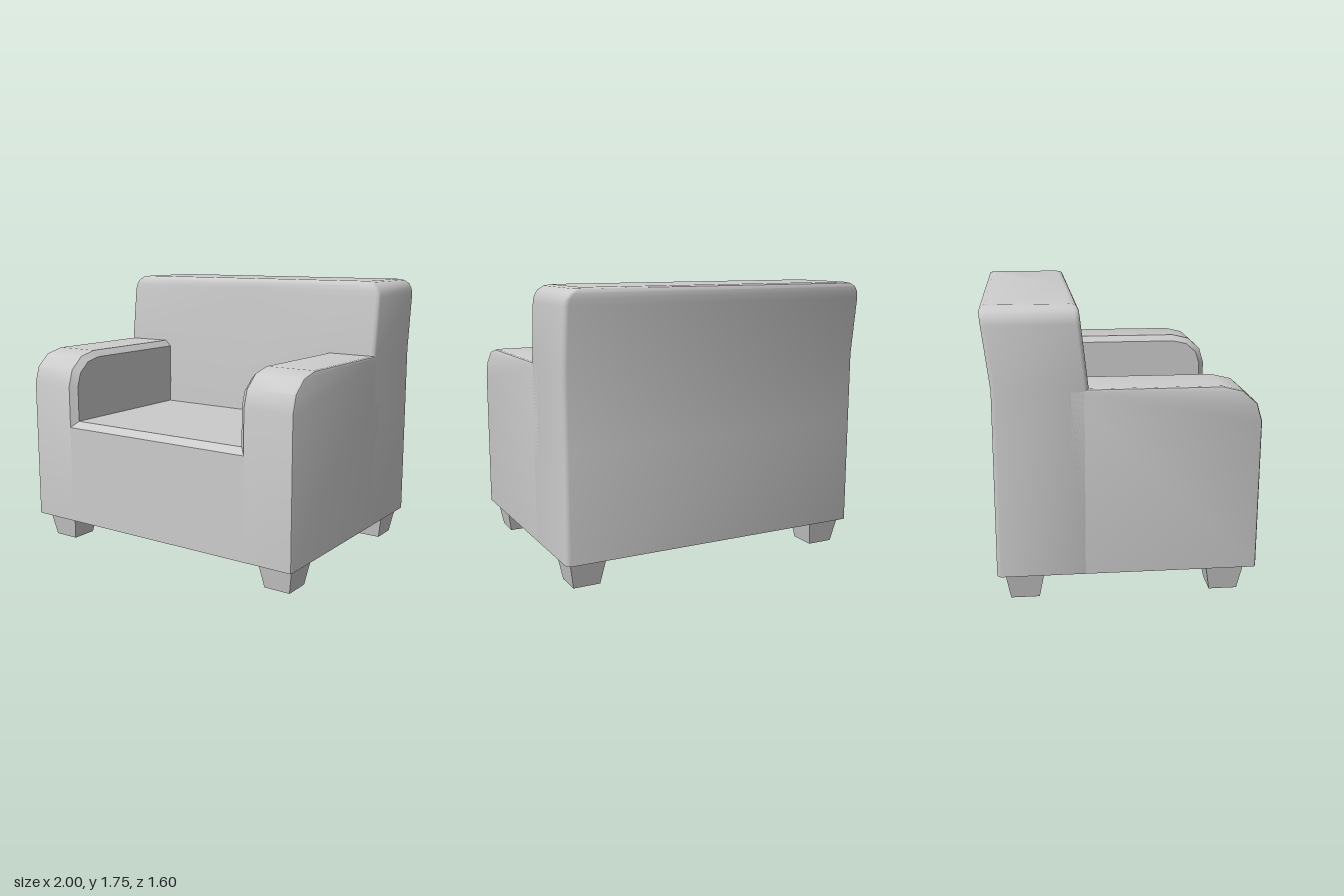
import * as THREE from 'three';
import { toCreasedNormals } from 'three/addons/utils/BufferGeometryUtils.js';

const material = new THREE.MeshStandardMaterial({ color: 0xcccccc });
const BOTTOM = 0.165, ARM_TOP = 1.285, SEAT = 0.84;

// Skin a list of rings (counter-clockwise about the loft direction) and cap both ends
function loft(rings, crease) {
  const n = rings[0].length, index = [];
  const last = (rings.length - 1) * n;
  for (let i = 0; i < rings.length - 1; i++) {
    for (let j = 0; j < n; j++) {
      const k = (j + 1) % n;
      const a = i * n + j, b = i * n + k, c = b + n, d = a + n;
      index.push(a, b, c, a, c, d);
    }
  }
  for (let j = 1; j < n - 1; j++) {
    index.push(0, j + 1, j, last, last + j, last + j + 1);
  }
  const geometry = new THREE.BufferGeometry();
  geometry.setAttribute('position', new THREE.Float32BufferAttribute(rings.flat(2), 3));
  geometry.setIndex(index);
  return toCreasedNormals(geometry, crease);
}

// Side outline of an armrest at x, drawn in by d along its front and top
function armRing(x, d) {
  const ring = [[x, ARM_TOP - d, -0.3]];
  for (let i = 0; i <= 3; i++) {
    const a = Math.PI / 2 - (i * Math.PI) / 6;
    ring.push([x, 1.07 + (0.215 - d) * Math.sin(a), 0.56 + (0.24 - d) * Math.cos(a)]);
  }
  ring.push([x, BOTTOM, 0.8 - d], [x, BOTTOM, -0.3]);
  return ring;
}

// Level section of the backrest: soft-cornered, leaning back above the arms
function backRing(y, w, e) {
  const lean = Math.max(0, (y - ARM_TOP) / (1.72 - ARM_TOP));
  const rise = Math.max(0, (y - SEAT) / (1.72 - SEAT));
  const front = -0.2 - 0.05 * lean - e;
  const rear = -0.745 - 0.053 * lean + e;
  const r = 0.025, s = 0.3 * r;
  const right = [
    [w - r, y, front], [w - s, y, front - s], [w, y, front - r],
    [w, y, rear + r], [w - s, y, rear + s], [w - r, y, rear],
  ];
  const left = right.map(([x, yy, z]) => [-x, yy, z]).reverse();
  return [[0, y, -0.2 - 0.05 * rise - e], ...right, ...left];
}

export function createModel() {
  const model = new THREE.Group();
  const add = (name, geometry) => {
    const mesh = new THREE.Mesh(geometry, material);
    mesh.name = name;
    model.add(mesh);
    return mesh;
  };

  // Seat block with a chamfered front edge
  const profile = new THREE.Shape([
    [-0.3, BOTTOM], [0.8, BOTTOM], [0.8, 0.8], [0.76, SEAT], [-0.3, SEAT],
  ].map(([z, y]) => new THREE.Vector2(-z, y)));
  const seat = new THREE.ExtrudeGeometry(profile, { depth: 1.36, bevelEnabled: false });
  seat.translate(0, 0, -0.68).rotateY(Math.PI / 2);
  add('seat', seat);

  // Armrests: wide chamfer inside, slight rounding outside
  const armRings = [[0.64, 0.04], [0.68, 0], [0.985, 0], [0.995, 0.005], [1, 0.015]]
    .map(([x, d]) => armRing(x, d));
  const mirrored = armRings
    .map((ring) => ring.map(([x, y, z]) => [-x, y, z]))
    .reverse();
  add('leftArmrest', loft(armRings, 0.6));
  add('rightArmrest', loft(mirrored, 0.6));

  // Backrest with rounded upper corners
  const backRings = [BOTTOM, SEAT, ARM_TOP].map((y) => backRing(y, 1, 0));
  const inset = [0, 0, 0, 0.01, 0.035];
  inset.forEach((e, i) => {
    const a = (i * Math.PI) / 8;
    backRings.push(backRing(1.65 + 0.1 * Math.sin(a), 0.9 + 0.1 * Math.cos(a), e));
  });
  add('backrest', loft(backRings, 0.82));

  // Four tapered square feet
  const foot = new THREE.CylinderGeometry(0.115 * Math.SQRT2, 0.085 * Math.SQRT2, BOTTOM, 4)
    .rotateY(Math.PI / 4)
    .toNonIndexed();
  foot.computeVertexNormals();
  for (const [end, z] of [['front', 0.617], ['back', -0.583]]) {
    for (const [side, x] of [['Left', 0.85], ['Right', -0.85]]) {
      add(`${end}${side}Foot`, foot).position.set(x, BOTTOM / 2, z);
    }
  }
  return model;
}
